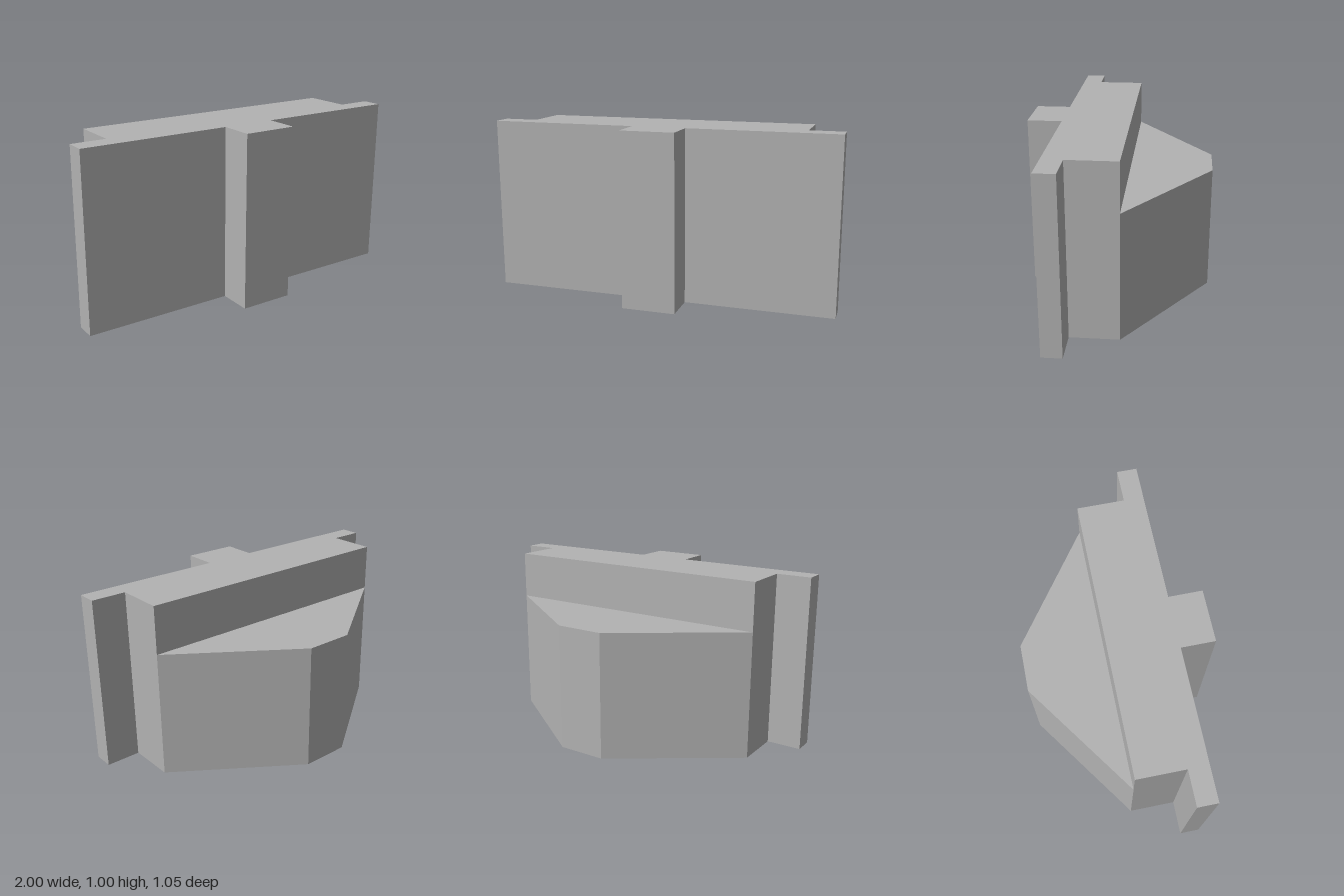
import * as THREE from 'three';

const grey = new THREE.MeshStandardMaterial({ color: 0xb2b2b2 });
grey.name = 'plain grey';

// Upright prism from the right half [x, z] of a plan, mirrored across x = 0
function prism(name, half, height) {
  const mirrored = half.map(([x, z]) => [-x, z]).reverse();
  const points = [...half, ...mirrored].map(([x, z]) => new THREE.Vector2(x, -z));
  const geometry = new THREE.ExtrudeGeometry(new THREE.Shape(points), {
    depth: height,
    bevelEnabled: false,
  });
  geometry.rotateX(-Math.PI / 2);
  const mesh = new THREE.Mesh(geometry, grey);
  mesh.name = name;
  return mesh;
}

export function createModel() {
  const group = new THREE.Group();
  group.name = 'block';

  // Tall body with a front rib and thin side flanges
  group.add(prism('tallBody', [
    [0.153, 0.526], [0.153, 0.331], [1, 0.331], [1, 0.216], [0.803, 0.216], [0.803, -0.058],
  ], 0.996));

  // Lower tapered block at the back
  group.add(prism('taperedBack', [
    [0.803, -0.058], [0.138, -0.526],
  ], 0.724));

  return group;
}
